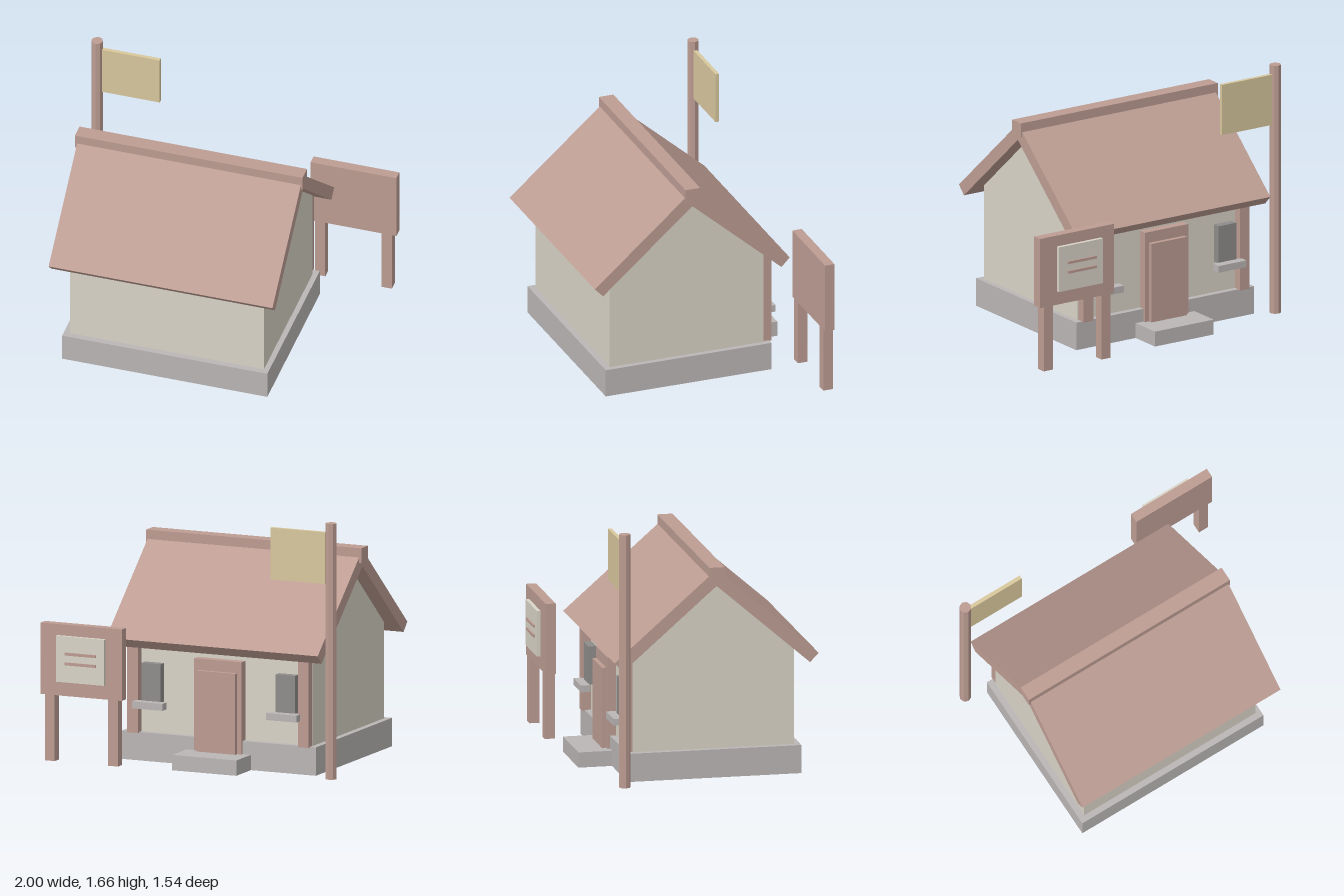
import * as THREE from 'three';

const makeMaterial = (name, color) => {
  const m = new THREE.MeshStandardMaterial({ color });
  m.name = name;
  return m;
};

export function createModel() {
  const model = new THREE.Group();
  model.name = 'cottage';

  const wood = makeMaterial('rosyWood', 0xbd9d93);
  const plaster = makeMaterial('plaster', 0xd9d4c7);
  const stone = makeMaterial('stone', 0xbab6b5);
  const glass = makeMaterial('windowGrey', 0x8f8d8b);
  const cloth = makeMaterial('flagCloth', 0xd9c89e);

  const add = (name, geometry, material, parent = model) => {
    const mesh = new THREE.Mesh(geometry, material);
    mesh.name = name;
    parent.add(mesh);
    return mesh;
  };

  // Box given by its lower and upper limits on each axis
  const box = (name, material, [x0, x1], [y0, y1], [z0, z1], parent) => {
    const g = new THREE.BoxGeometry(x1 - x0, y1 - y0, z1 - z0);
    g.translate((x0 + x1) / 2, (y0 + y1) / 2, (z0 + z1) / 2);
    return add(name, g, material, parent);
  };

  // Side profile given as [z, y] points, extruded from x0 to x1
  const sideProfile = (name, material, points, x0, x1) => {
    const shape = new THREE.Shape(points.map(([z, y]) => new THREE.Vector2(-z, y)));
    const g = new THREE.ExtrudeGeometry(shape, { depth: x1 - x0, bevelEnabled: false });
    g.rotateY(Math.PI / 2);
    g.translate(x0, 0, 0);
    return add(name, g, material);
  };

  const cx = -0.143; // middle of the house
  const cz = 0.1; // ridge line

  // Foundation and doorstep
  box('foundation', stone, [-0.83, 0.545], [0, 0.185], [-0.47, 0.67]);
  box('doorstep', stone, [-0.37, 0.085], [0, 0.1], [-0.69, -0.46]);

  // Gabled walls
  sideProfile('walls', plaster, [
    [cz - 0.53, 0.18], [cz - 0.53, 0.814], [cz, 1.275], [cz + 0.53, 0.814], [cz + 0.53, 0.18],
  ], -0.79, 0.51);

  // Roof slabs and ridge cap
  sideProfile('roof', wood, [
    [cz - 0.67, 0.8], [cz, 1.383], [cz + 0.67, 0.8],
    [cz + 0.613, 0.742], [cz, 1.275], [cz - 0.613, 0.742],
  ], -0.89, 0.61);
  box('ridgeCap', wood, [-0.905, 0.62], [1.305, 1.4], [cz - 0.05, cz + 0.05]);

  // Door
  box('doorFrame', wood, [cx - 0.168, cx + 0.168], [0.1, 0.7], [-0.487, -0.42]);
  box('doorLeaf', wood, [cx - 0.137, cx + 0.137], [0.1, 0.627], [-0.516, -0.48]);

  // Corner posts and windows on both sides of the door
  for (const s of [-1, 1]) {
    const px = cx + s * 0.605;
    box('cornerPost', wood, [px - 0.038, px + 0.038], [0.18, 0.83], [-0.487, -0.42]);
    const wx = cx + s * 0.475;
    box('windowPane', glass, [wx - 0.068, wx + 0.068], [0.39, 0.64], [-0.482, -0.42]);
    box('windowSill', stone, [wx - 0.108, wx + 0.108], [0.35, 0.395], [-0.54, -0.477]);
  }

  // Flagpole with flag
  const pole = add('flagpole', new THREE.CylinderGeometry(0.038, 0.038, 1.665, 8), wood);
  pole.geometry = pole.geometry.toNonIndexed();
  pole.geometry.computeVertexNormals();
  pole.position.set(-0.962, 0.8325, -0.52);
  box('flag', cloth, [-0.927, -0.54], [1.268, 1.605], [-0.535, -0.51]);

  // Notice board on two legs
  const board = new THREE.Group();
  board.name = 'noticeBoard';
  model.add(board);
  box('boardPanel', wood, [0.425, 1], [0.43, 0.895], [-0.725, -0.66], board);
  for (const x of [0.488, 0.935]) {
    box('boardLeg', wood, [x - 0.035, x + 0.035], [0, 0.43], [-0.725, -0.66], board);
  }
  box('noticeSheet', plaster, [0.535, 0.875], [0.525, 0.825], [-0.759, -0.734], board);
  for (const y of [0.648, 0.712]) {
    box('noticeLine', wood, [0.59, 0.81], [y - 0.009, y + 0.009], [-0.77, -0.759], board);
  }

  return model;
}
